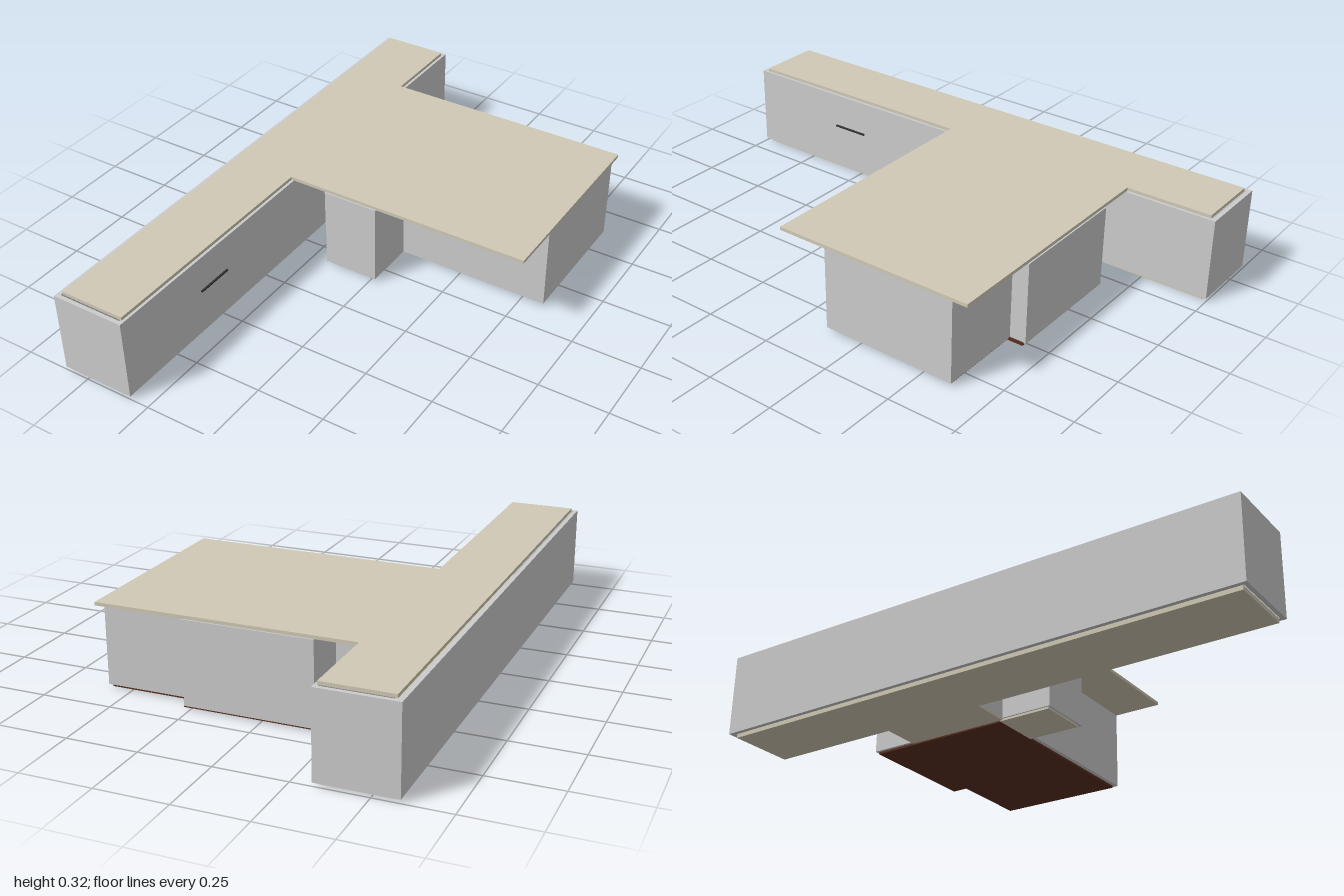
import * as THREE from 'three';

const FLOOR = 0.012, TOP = 0.308, T = 0.015;

export function createModel() {
  const model = new THREE.Group();
  const wallMat = new THREE.MeshStandardMaterial({ color: 0xcccccc });
  const slabMat = new THREE.MeshStandardMaterial({ color: 0xd0c9b5 });
  const woodMat = new THREE.MeshStandardMaterial({ color: 0x5a3020 });
  const darkMat = new THREE.MeshStandardMaterial({ color: 0x333333 });

  // Box given by its limits on each axis
  function block(name, x0, x1, y0, y1, z0, z1, mat = wallMat) {
    const mesh = new THREE.Mesh(new THREE.BoxGeometry(x1 - x0, y1 - y0, z1 - z0), mat);
    mesh.position.set((x0 + x1) / 2, (y0 + y1) / 2, (z0 + z1) / 2);
    mesh.name = name;
    model.add(mesh);
  }
  const wall = (name, x0, x1, z0, z1) => block(name, x0, x1, FLOOR, TOP, z0, z1);

  // Horizontal slab from an outline of [x, z] points
  function slab(name, points, y0, y1, mat) {
    const shape = new THREE.Shape(points.map(([x, z]) => new THREE.Vector2(x, -z)));
    const geo = new THREE.ExtrudeGeometry(shape, { depth: y1 - y0, bevelEnabled: false });
    geo.rotateX(-Math.PI / 2);
    const mesh = new THREE.Mesh(geo, mat);
    mesh.position.y = y0;
    mesh.name = name;
    model.add(mesh);
  }

  // One flat roof over the long bar and the side wing
  slab('roof', [[-0.57, 0.98], [-0.33, 0.98], [-0.33, 0.072], [0.585, 0.072],
    [0.585, -0.668], [-0.33, -0.668], [-0.33, -0.98], [-0.57, -0.98]], TOP, 0.32, slabMat);

  // Long bar: floor and four walls
  block('barFloor', -0.57, -0.33, 0, FLOOR + 0.003, -0.98, 0.98, slabMat);
  wall('barOuterWall', -0.59, -0.575, -1, 1);
  wall('barInnerWall', -0.335, -0.32, -1, 1);
  for (const s of [-1, 1]) {
    const z = s * (1 - T / 2);
    wall('barEndWall', -0.575, -0.335, z - T / 2, z + T / 2);
  }

  // Main room: wooden floor with a stepped back edge
  slab('roomFloor', [[-0.175, -0.13], [0.572, -0.13], [0.572, -0.607], [0.275, -0.607],
    [0.275, -0.665], [-0.175, -0.665]], 0.004, FLOOR + 0.003, woodMat);
  wall('roomFrontWall', -0.17, 0.57, -0.13, -0.115);
  wall('roomSideWall', 0.57, 0.585, -0.613, -0.115);
  wall('roomBackWall', 0.27, 0.57, -0.613, -0.598);
  wall('roomStepWall', 0.255, 0.27, -0.66, -0.598);
  wall('roomRearWall', -0.17, 0.27, -0.673, -0.66);
  wall('roomInnerWall', -0.185, -0.17, -0.673, -0.13);

  // Porch block in front of the room
  block('porchFloor', -0.18, 0.005, 0.004, FLOOR + 0.002, -0.128, 0.07, slabMat);
  wall('porchFrontWall', -0.17, 0.005, 0.062, 0.077);
  wall('porchLeftWall', 0.005, 0.02, -0.115, 0.077);
  wall('porchRightWall', -0.185, -0.17, -0.13, 0.077);

  // Hall joining the bar to the room
  block('hallFloor', -0.33, -0.185, 0.004, FLOOR + 0.002, -0.5, -0.115, slabMat);
  wall('hallFrontWall', -0.32, -0.185, -0.13, -0.115);
  wall('hallBackWall', -0.32, -0.185, -0.5, -0.485);

  // Slim rail on the inner bar wall and a lamp under the eaves
  block('wallRail', -0.32, -0.314, 0.176, 0.182, 0.475, 0.615, darkMat);
  const lamp = new THREE.Mesh(new THREE.SphereGeometry(0.012, 16, 10), darkMat);
  lamp.position.set(-0.3, 0.294, -0.6);
  lamp.name = 'lamp';
  model.add(lamp);

  return model;
}
